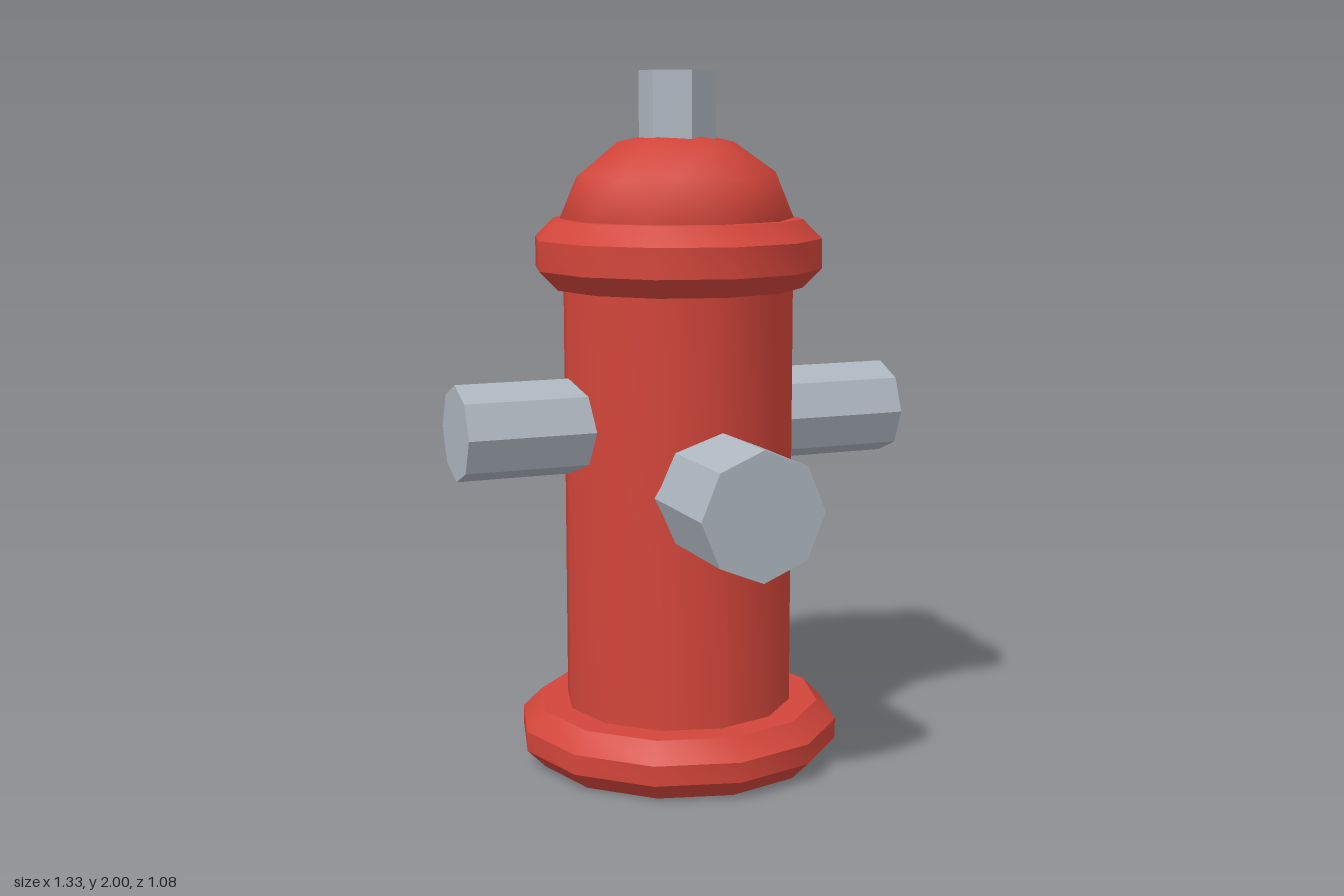
import * as THREE from 'three';
import { toCreasedNormals } from 'three/addons/utils/BufferGeometryUtils.js';

const red = new THREE.MeshStandardMaterial({ color: 0xd2453a });
red.name = 'red paint';
const grey = new THREE.MeshStandardMaterial({ color: 0xadb5bf });
grey.name = 'grey metal';

export function createModel() {
  const group = new THREE.Group();
  group.name = 'hydrant';
  const axisZ = -0.068;

  const add = (name, geometry, material, x, y, z) => {
    const mesh = new THREE.Mesh(geometry, material);
    mesh.name = name;
    mesh.position.set(x, y, z);
    group.add(mesh);
    return mesh;
  };

  // Twelve-sided turned shape, smooth around with sharp bevels
  const turned = (profile) => {
    const points = profile.map(([r, y]) => new THREE.Vector2(r, y));
    return toCreasedNormals(new THREE.LatheGeometry(points, 12), 0.6);
  };

  // Flat disc with a bevel above and below
  const flange = (radius, bevel, height) => turned([
    [0, 0], [radius - bevel, 0], [radius, bevel],
    [radius, height - bevel], [radius - bevel, height], [0, height],
  ]);

  // Faceted bar along y, sharp on every edge
  const bar = (radius, length, sides) =>
    new THREE.CylinderGeometry(radius, radius, length, sides).toNonIndexed();
  const flat = (geometry) => {
    geometry.computeVertexNormals();
    return geometry;
  };

  // Base, barrel and collar
  add('base', flange(0.47, 0.055, 0.168), red, 0, 0, axisZ);
  add('barrel', turned([[0.333, 0.1], [0.333, 1.45]]), red, 0, 0, axisZ);
  add('collar', flange(0.415, 0.055, 0.195), red, 0, 1.39, axisZ);

  // Squashed dome with one corner pointing straight up
  const dome = new THREE.IcosahedronGeometry(1, 1);
  dome.rotateZ(-Math.atan(2 / (1 + Math.sqrt(5))));
  dome.scale(0.335, 0.25, 0.335);
  add('dome', dome, red, 0, 1.587, axisZ);

  // Hexagonal nut on top
  add('topNut', flat(bar(0.11, 0.25, 6)), grey, 0, 1.875, axisZ);

  // Side outlets
  for (const side of [-1, 1]) {
    const outlet = flat(bar(0.137, 0.465, 8).rotateZ(Math.PI / 2));
    add(side > 0 ? 'leftOutlet' : 'rightOutlet', outlet, grey, side * 0.4325, 1.003, axisZ);
  }

  // Large front outlet
  add('frontOutlet', flat(bar(0.18, 0.44, 8).rotateX(Math.PI / 2)), grey, 0, 0.835, 0.32);

  return group;
}
